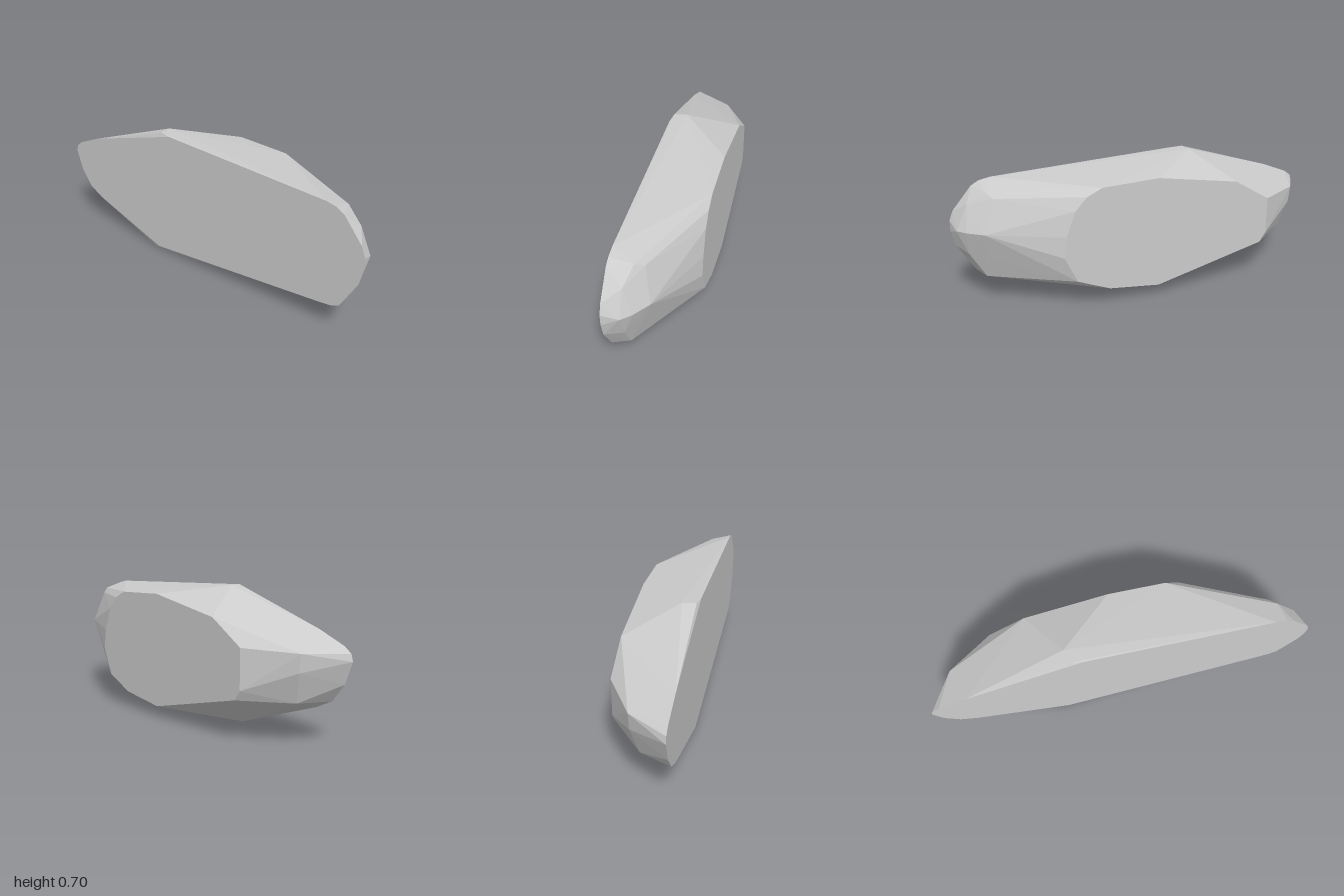
import * as THREE from 'three';
import { ConvexGeometry } from 'three/addons/geometries/ConvexGeometry.js';

// Flat front outline, z = 0.17
const FRONT = [
  [-1, 0.41], [-0.99, 0.445], [-0.95, 0.475], [-0.8, 0.535], [-0.2, 0.7], [0.78, 0.655],
  [0.84, 0.643], [0.88, 0.62], [0.93, 0.56], [0.98, 0.5], [1, 0.45], [1, 0.39],
  [0.98, 0.31], [0.93, 0.225], [0.89, 0.16], [0.85, 0.14], [0.78, 0.13],
  [-0.31, 0.015], [-0.8, 0.165], [-0.89, 0.21], [-0.96, 0.3],
];

// Flat back outline, z = -0.17
const BACK = [
  [0, 0.655], [0.3, 0.643], [0.38, 0.605], [0.44, 0.54], [0.49, 0.41], [0.505, 0.3],
  [0.44, 0.16], [0.27, 0.09], [0, 0.06], [-0.6, 0.21], [-0.635, 0.26],
  [-0.635, 0.46], [-0.44, 0.58],
];

// Chipped shoulders between the two flat faces: x, y, z
const SHOULDER = [
  // top and bottom peaks
  [-0.28, 0.705, 0.09], [-0.27, 0.705, 0.16], [-0.34, 0, 0.13], [-0.34, 0, 0.16],
  // blunt end
  [0.86, 0.42, -0.015], [0.8, 0.59, 0.02], [0.83, 0.615, 0.06], [0.84, 0.28, 0.03],
  [0.85, 0.245, 0.055], [0.85, 0.15, 0.09], [0.94, 0.42, 0.045], [0.98, 0.42, 0.09],
  [0.92, 0.55, 0.09], [0.93, 0.29, 0.09],
  // pointed end
  [-0.87, 0.45, -0.025], [-0.86, 0.36, -0.025], [-0.82, 0.21, 0.01],
];

export function createModel() {
  const group = new THREE.Group();
  group.name = 'rockSlab';

  const at = (outline, z) => outline.map(([x, y]) => new THREE.Vector3(x, y, z));
  const points = [
    ...at(FRONT, 0.17),
    ...at(BACK, -0.17),
    ...SHOULDER.map((p) => new THREE.Vector3(...p)),
  ];

  // Faceted convex stone
  const stone = new THREE.Mesh(
    new ConvexGeometry(points),
    new THREE.MeshStandardMaterial({ color: 0xcccccc, flatShading: true }),
  );
  stone.name = 'stone';
  group.add(stone);
  return group;
}
